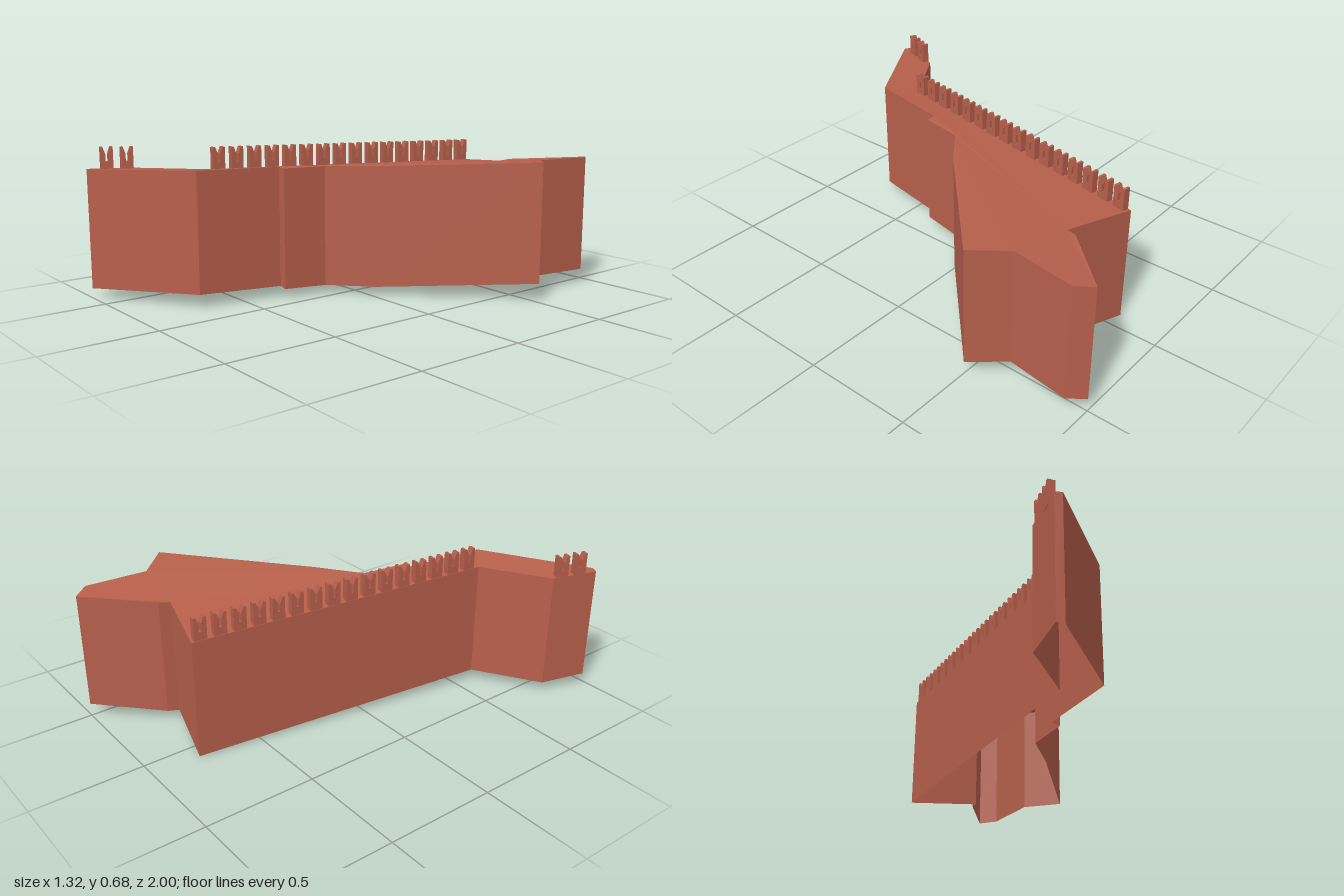
import * as THREE from 'three';

const brick = new THREE.MeshStandardMaterial({ color: 0xb8604c, side: THREE.DoubleSide });
brick.name = 'brick red';

// Wall outline, anticlockwise from above: x, z, bottom y, top y
const outline = [
  [-0.66, 0.985, 0.05, 0.58], [-0.63, 1, 0.045, 0.582], [-0.18, 0.71, 0.06, 0.6],
  [-0.12, 0.33, 0.05, 0.59], [-0.077, 0.335, 0.045, 0.588], [-0.045, 0.135, 0.038, 0.585],
  [0.14, -0.015, 0.042, 0.592], [0.66, -0.515, 0.08, 0.62], [0.53, -0.65, 0.07, 0.606],
  [0.56, -0.93, 0.066, 0.6], [0.5, -1, 0.06, 0.592], [0.26, -0.74, 0.042, 0.578],
  [0.245, -0.69, 0.036, 0.572], [-0.08, -0.78, 0, 0.54], [-0.305, 0.595, 0.046, 0.583],
  [-0.59, 0.78, 0.04, 0.575],
];

function flatMesh(name, positions) {
  const geometry = new THREE.BufferGeometry();
  geometry.setAttribute('position', new THREE.Float32BufferAttribute(positions, 3));
  geometry.computeVertexNormals();
  const mesh = new THREE.Mesh(geometry, brick);
  mesh.name = name;
  return mesh;
}

// Vertical faces; the underside stays open
function outerWalls() {
  const positions = [];
  outline.forEach(([x, z, low, high], i) => {
    const [x2, z2, low2, high2] = outline[(i + 1) % outline.length];
    positions.push(x, low, z, x2, low2, z2, x2, high2, z2);
    positions.push(x, low, z, x2, high2, z2, x, high, z);
  });
  return flatMesh('outerWalls', positions);
}

// Gently sloping walkway over the walls
function walkway() {
  const contour = outline.map(([x, z]) => new THREE.Vector2(x, -z));
  const positions = [];
  for (const face of THREE.ShapeUtils.triangulateShape(contour, [])) {
    for (const i of face) positions.push(outline[i][0], outline[i][3], outline[i][1]);
  }
  return flatMesh('walkway', positions);
}

// Swallow-tailed merlon with a narrow slot, its length along local x
const DEPTH = 0.032;
const profile = [
  [-0.028, 0], [0.028, 0], [0.028, 0.115], [0.016, 0.115], [0.005, 0.085],
  [0.005, 0.05], [-0.005, 0.05], [-0.005, 0.085], [-0.016, 0.115], [-0.028, 0.115],
].map(([x, y]) => new THREE.Vector2(x, y));
const merlonGeometry = new THREE.ExtrudeGeometry(new THREE.Shape(profile), { depth: DEPTH, bevelEnabled: false });
merlonGeometry.translate(0, 0, -DEPTH / 2);

// Row of merlons between two points, given by the height of their tops
function merlonRow(name, start, end, count) {
  const row = new THREE.Group();
  row.name = name;
  const a = new THREE.Vector3(...start);
  const b = new THREE.Vector3(...end);
  const angle = Math.atan2(a.z - b.z, b.x - a.x);
  for (let i = 0; i < count; i++) {
    const merlon = new THREE.Mesh(merlonGeometry, brick);
    merlon.name = 'merlon';
    merlon.position.lerpVectors(a, b, i / (count - 1));
    merlon.position.y -= 0.115;
    merlon.rotation.y = angle;
    row.add(merlon);
  }
  return row;
}

export function createModel() {
  const model = new THREE.Group();
  model.name = 'fortressWall';
  model.add(
    outerWalls(),
    walkway(),
    merlonRow('longMerlonRow', [-0.279, 0.68, 0.545], [-0.069, 0.643, -0.735], 16),
    merlonRow('shortMerlonRow', [-0.619, 0.676, 0.91], [-0.589, 0.674, 0.828], 2),
  );
  return model;
}
